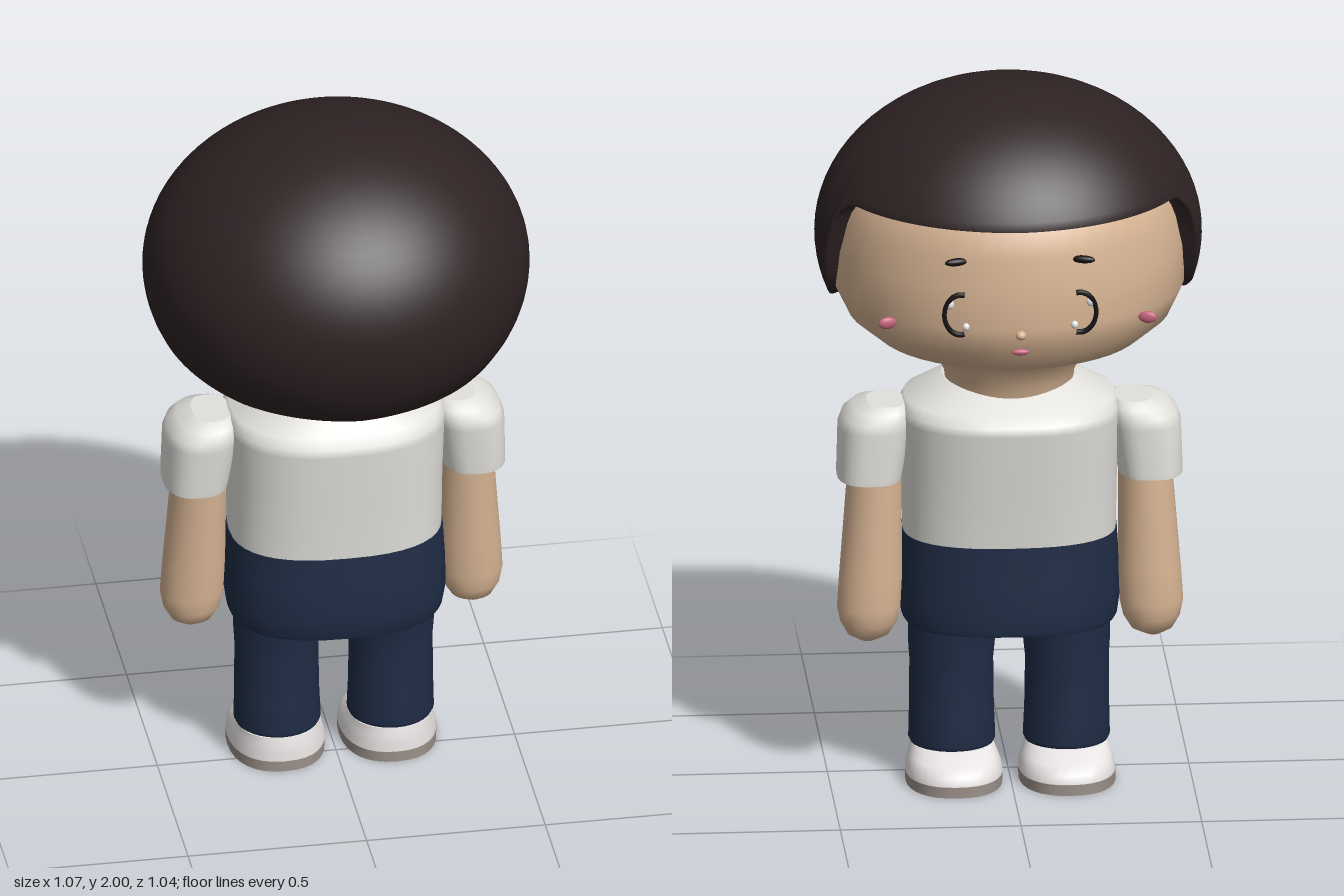
import * as THREE from 'three';

const mat = (name, color) => { const m = new THREE.MeshStandardMaterial({ color }); m.name = name; return m; };

// Skins closed rings of points, ordered bottom to top, with optional flat caps
function skin(rings, capBottom = true, capTop = true) {
  const n = rings[0].length, pos = [], idx = [];
  rings.forEach(r => r.forEach(p => pos.push(...p)));
  for (let k = 0; k < rings.length - 1; k++) {
    for (let i = 0; i < n; i++) {
      const a = k * n + i, b = k * n + (i + 1) % n;
      idx.push(a, a + n, b, b, a + n, b + n);
    }
  }
  const cap = (ring, up) => {
    const base = pos.length / 3, c = [0, 0, 0];
    ring.forEach(p => { pos.push(...p); p.forEach((v, j) => { c[j] += v / n; }); });
    pos.push(...c);
    for (let i = 0; i < n; i++) {
      const a = base + i, b = base + (i + 1) % n;
      idx.push(base + n, up ? b : a, up ? a : b);
    }
  };
  if (capBottom) cap(rings[0], false);
  if (capTop) cap(rings[rings.length - 1], true);
  const g = new THREE.BufferGeometry();
  g.setAttribute('position', new THREE.Float32BufferAttribute(pos, 3));
  g.setIndex(idx);
  g.computeVertexNormals();
  return g;
}

// Loft through superellipse sections given as [y, x0, x1, z0, z1]
function loft(sections, power = 2, n = 32) {
  const soft = v => Math.sign(v) * Math.abs(v) ** (2 / power);
  return skin(sections.map(([y, x0, x1, z0, z1]) => Array.from({ length: n }, (_, i) => {
    const t = i / n * Math.PI * 2;
    return [(x0 + x1) / 2 + (x1 - x0) / 2 * soft(Math.cos(t)), y,
      (z0 + z1) / 2 + (z1 - z0) / 2 * soft(Math.sin(t))];
  })));
}

// Hair cap: ellipsoid whose lower edge height follows the angle from the back
function hairGeometry() {
  const n = 120, rows = 24;
  const edge = [[0, 1.29], [45, 1.315], [90, 1.395], [99, 1.44], [104, 1.52], [107, 1.65],
    [113, 1.715], [118, 1.725], [180, 1.72]];
  const edgeY = deg => {
    const i = Math.max(1, edge.findIndex(e => e[0] >= deg - 1e-6));
    const [a0, y0] = edge[i - 1], [a1, y1] = edge[i];
    return y0 + (y1 - y0) * (deg - a0) / (a1 - a0);
  };
  const ring = (f, scale = 1, lift = 0) => Array.from({ length: n }, (_, i) => {
    const t = i / n * Math.PI * 2, s = Math.sin(t);
    const d = (edgeY(Math.acos(Math.max(-1, Math.min(1, s))) * 180 / Math.PI) - 1.57);
    const low = Math.asin(d / (d < 0 ? 0.45 : 0.43));
    const v = low + (Math.PI / 2 - low) * f, r = Math.cos(v) * scale;
    return [Math.cos(t) * r * 0.535, 1.57 + Math.sin(v) * (v < 0 ? 0.45 : 0.43) + lift, s * r * (s < 0 ? 0.505 : 0.52)];
  });
  const rings = [ring(0, 0.86, 0.02), ring(0, 0.985, -0.002), ring(0)];
  for (let k = 1; k <= rows; k++) rings.push(ring(0.006 + 0.994 * k / rows));
  return skin(rings, false, false);
}

export function createModel() {
  const model = new THREE.Group();
  const hair = mat('dark brown hair', 0x2e2223), flesh = mat('skin', 0xd8b594);
  const shirt = mat('white shirt', 0xe2e1dc), navy = mat('navy trousers', 0x1f2c45);
  const shoe = mat('shoe white', 0xe9e5e4), sole = mat('sole taupe', 0x9d928b);
  const pink = mat('pink', 0xc4637b), black = mat('black', 0x171112), glint = mat('eye glint', 0xf4f4f4);

  const add = (name, geometry, material, parent = model) => {
    const m = new THREE.Mesh(geometry, material);
    m.name = name;
    parent.add(m);
    return m;
  };
  const blob = (name, material, p, r, parent) => {
    const m = add(name, new THREE.SphereGeometry(1, 16, 12), material, parent);
    m.position.set(...p);
    m.scale.set(...r);
    return m;
  };

  // Head with neck, and the hair
  add('head', loft([
    [1.13, -0.175, 0.175, -0.2, 0.125], [1.18, -0.18, 0.18, -0.21, 0.13],
    [1.245, -0.21, 0.21, -0.245, 0.165], [1.26, -0.25, 0.25, -0.285, 0.2],
    [1.3, -0.37, 0.37, -0.41, 0.32], [1.36, -0.445, 0.445, -0.475, 0.4],
    [1.44, -0.485, 0.485, -0.492, 0.44], [1.55, -0.485, 0.485, -0.487, 0.45],
    [1.64, -0.47, 0.47, -0.475, 0.44], [1.73, -0.44, 0.44, -0.457, 0.42],
    [1.82, -0.36, 0.36, -0.36, 0.36], [1.92, -0.2, 0.2, -0.2, 0.2]], 2, 48), flesh);
  add('hair', hairGeometry(), hair);

  // Shirt and trouser top
  add('shirt', loft([
    [0.72, -0.295, 0.295, -0.245, 0.187], [0.9, -0.298, 0.298, -0.268, 0.2],
    [1.06, -0.305, 0.305, -0.293, 0.215], [1.085, -0.303, 0.303, -0.292, 0.213],
    [1.11, -0.29, 0.29, -0.262, 0.19], [1.155, -0.2, 0.2, -0.185, 0.14],
    [1.162, -0.185, 0.185, -0.17, 0.13]], 2.5, 40), shirt);
  add('trouserTop', loft([
    [0.463, -0.29, 0.29, -0.248, 0.185], [0.475, -0.298, 0.298, -0.252, 0.19],
    [0.53, -0.306, 0.306, -0.255, 0.203], [0.62, -0.304, 0.304, -0.25, 0.197],
    [0.721, -0.298, 0.298, -0.247, 0.189]], 2.5, 40), navy);

  // Nose and mouth
  blob('nose', flesh, [0, 1.43, -0.5], [0.015, 0.013, 0.016]);
  blob('mouth', pink, [0, 1.375, -0.48], [0.025, 0.009, 0.009]);

  // Paired parts: the right side is the left side mirrored
  const limbs = {
    sleeve: [[
      [0.885, 0.3, 0.478, -0.172, 0.07], [0.9, 0.297, 0.478, -0.173, 0.072],
      [1.03, 0.275, 0.474, -0.175, 0.084], [1.06, 0.272, 0.462, -0.172, 0.084],
      [1.085, 0.275, 0.435, -0.155, 0.065], [1.1, 0.29, 0.395, -0.125, 0.025]], 2.6, shirt],
    arm: [[
      [0.412, 0.372, 0.418, -0.1, -0.05], [0.43, 0.335, 0.45, -0.13, -0.022],
      [0.465, 0.313, 0.47, -0.148, -0.004], [0.51, 0.303, 0.479, -0.154, 0],
      [0.6, 0.298, 0.473, -0.154, 0.008], [0.95, 0.3, 0.445, -0.148, 0.034]], 2, flesh],
    trouserLeg: [[
      [0.1, 0.043, 0.273, -0.15, 0.076], [0.112, 0.038, 0.279, -0.156, 0.083],
      [0.2, 0.042, 0.277, -0.152, 0.078], [0.34, 0.044, 0.276, -0.15, 0.07],
      [0.4, 0.038, 0.28, -0.157, 0.082], [0.5, 0.036, 0.28, -0.16, 0.086]], 2, navy],
    shoeUpper: [[
      [0.03, 0.022, 0.29, -0.255, 0.09], [0.055, 0.026, 0.287, -0.25, 0.088],
      [0.075, 0.034, 0.28, -0.222, 0.085], [0.1, 0.046, 0.27, -0.155, 0.078]], 2.3, shoe],
    sole: [[
      [0, 0.023, 0.29, -0.256, 0.091], [0.031, 0.022, 0.291, -0.257, 0.092]], 2.3, sole],
  };
  for (const side of [1, -1]) {
    const label = side > 0 ? 'left' : 'right';
    for (const [name, [sections, power, material]] of Object.entries(limbs)) {
      const s = sections.map(([y, a, b, z0, z1]) => (side > 0 ? [y, a, b, z0, z1] : [y, -b, -a, z0, z1]));
      add(`${label} ${name}`, loft(s, power), material);
    }

    // Eye drawn as an outer arc, with two glints, a brow and a cheek
    const eye = new THREE.Group();
    eye.name = `${label} eye`;
    model.add(eye);
    const arc = add('eyeArc', new THREE.TorusGeometry(1, 0.14, 8, 24, Math.PI * 1.15), black, eye);
    arc.geometry.rotateZ(-Math.PI * 0.575);
    if (side < 0) arc.geometry.rotateZ(Math.PI);
    arc.scale.set(0.045, 0.058, 0.07);
    arc.position.set(side * 0.165, 1.485, -0.472);
    blob('upperGlint', glint, [side * 0.195, 1.515, -0.47], [0.012, 0.014, 0.01], eye);
    blob('lowerGlint', glint, [side * 0.15, 1.45, -0.475], [0.01, 0.011, 0.01], eye);
    blob(`${label} brow`, black, [side * 0.175, 1.632, -0.452], [0.034, 0.011, 0.012]).rotation.y = side * 0.25;
    blob(`${label} cheek`, pink, [side * 0.36, 1.43, -0.367], [0.026, 0.017, 0.01]).rotation.y = side * 0.25;
  }
  return model;
}
